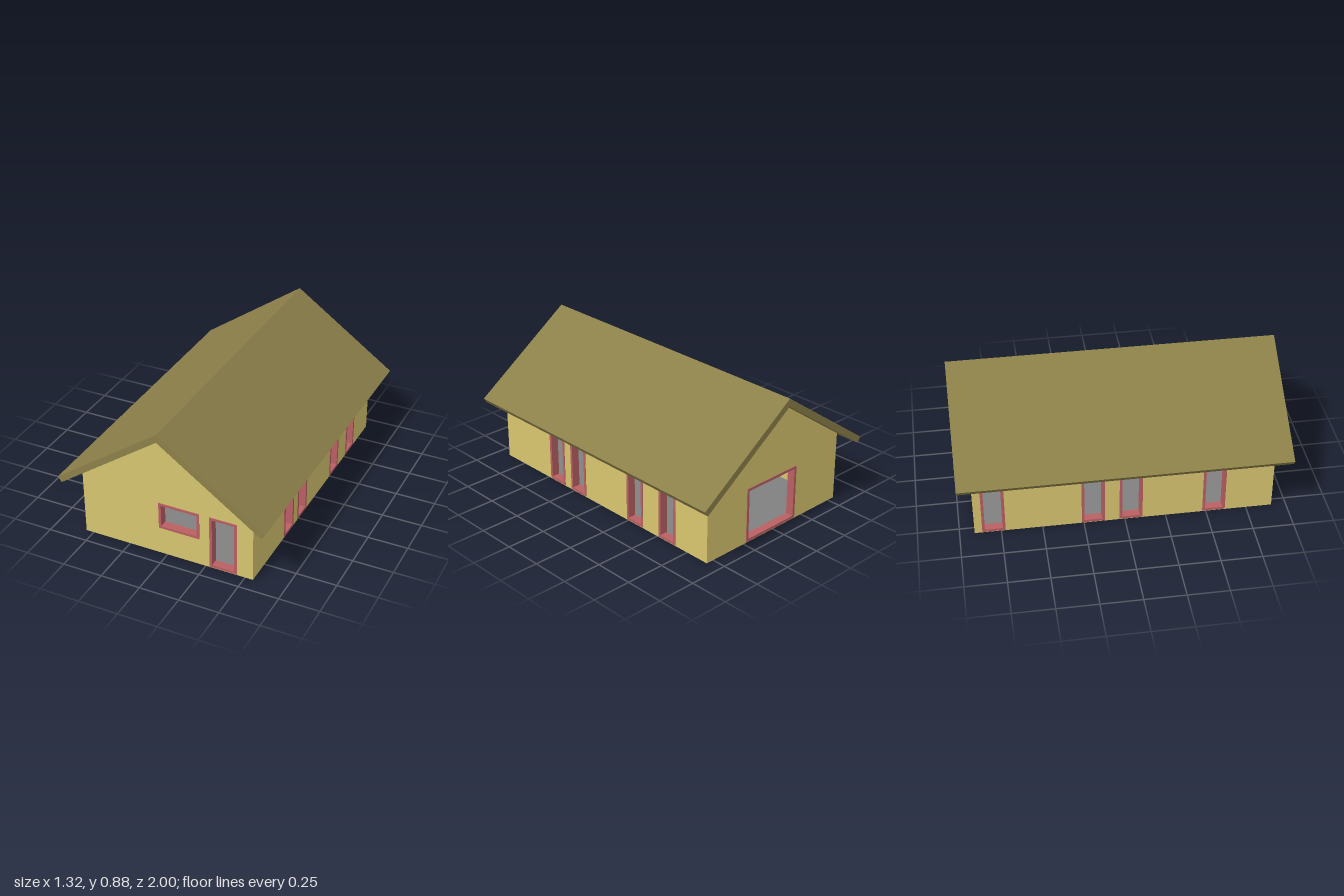
import * as THREE from 'three';

const W = 0.55, L = 0.91, T = 0.045;          // half width, half length, wall thickness
const RIDGE = 0.83, SLOPE = 0.705;            // underside of the roof
const BASE = 0.005, HEAD = 0.355, BAR = 0.0165; // openings: sill, head, frame width

const paint = (color) => new THREE.MeshStandardMaterial({ color });
const wallMat = paint(0xd8c670);
const roofMat = paint(0x8c8049);
const frameMat = paint(0xba6063);
const floorMat = paint(0x808080);

function rect(Type, x0, y0, x1, y1) {
  const p = new Type();
  p.moveTo(x0, y0);
  p.lineTo(x1, y0);
  p.lineTo(x1, y1);
  p.lineTo(x0, y1);
  p.closePath();
  return p;
}

function polygon(points) {
  return new THREE.Shape(points.map(([x, y]) => new THREE.Vector2(x, y)));
}

function extrude(name, shape, depth, z, material) {
  const geometry = new THREE.ExtrudeGeometry(shape, { depth, bevelEnabled: false });
  geometry.translate(0, 0, z);
  const mesh = new THREE.Mesh(geometry, material);
  mesh.name = name;
  return mesh;
}

// A wall facing local +z with framed openings [left, right, sill, name]
function makeWall(name, outline, openings, angle, distance) {
  const group = new THREE.Group();
  group.name = name;
  for (const [x0, x1, sill, part] of openings) {
    outline.holes.push(rect(THREE.Path, x0, sill, x1, HEAD));
    const frame = rect(THREE.Shape, x0, sill, x1, HEAD);
    frame.holes.push(rect(THREE.Path, x0 + BAR, sill + BAR, x1 - BAR, HEAD - BAR));
    group.add(extrude(part, frame, T + 0.006, -T - 0.003, frameMat));
  }
  group.add(extrude(name + 'Panel', outline, T, -T, wallMat));
  group.rotation.y = angle;
  group.position.set(Math.sin(angle) * distance, 0, Math.cos(angle) * distance);
  return group;
}

export function createModel() {
  const house = new THREE.Group();
  house.name = 'house';

  // Gable walls
  const eave = RIDGE - W * SLOPE;
  const gable = () => polygon([[-W, 0], [W, 0], [W, eave], [0, RIDGE], [-W, eave]]);
  house.add(makeWall('frontWall', gable(), [
    [-0.05, 0.212, 0.18, 'windowFrame'],
    [0.276, 0.45, BASE, 'doorFrame'],
  ], 0, L));
  house.add(makeWall('backWall', gable(), [
    [-0.23, 0.187, BASE, 'wideDoorFrame'],
  ], Math.PI, L));

  // Long walls, each with four tall doors given by their starting point
  const DOOR = 0.14;
  const side = () => rect(THREE.Shape, -L + T, 0, L - T, eave + 0.006);
  const doors = (starts) => starts.map((s) => [s, s + DOOR, BASE, 'sideDoorFrame']);
  house.add(makeWall('leftWall', side(), doors([-0.475, -0.275, 0.24, 0.515]), Math.PI / 2, W));
  house.add(makeWall('rightWall', side(), doors([-0.864, -0.262, -0.032, 0.478]), -Math.PI / 2, W));

  // Floor slab between the walls
  const floor = new THREE.Mesh(new THREE.BoxGeometry(2 * (W - T), 0.005, 2 * (L - T)), floorMat);
  floor.name = 'floor';
  floor.position.y = 0.0025;
  house.add(floor);

  // Folded roof with square-cut eaves
  const top = RIDGE + 0.05;
  const outer = [0.662, top - 0.662 * SLOPE];
  const inner = [0.639, RIDGE - 0.639 * SLOPE];
  const roof = polygon([
    [0, top], [-outer[0], outer[1]], [-inner[0], inner[1]],
    [0, RIDGE], inner, outer,
  ]);
  house.add(extrude('roof', roof, 2, -1, roofMat));

  return house;
}
